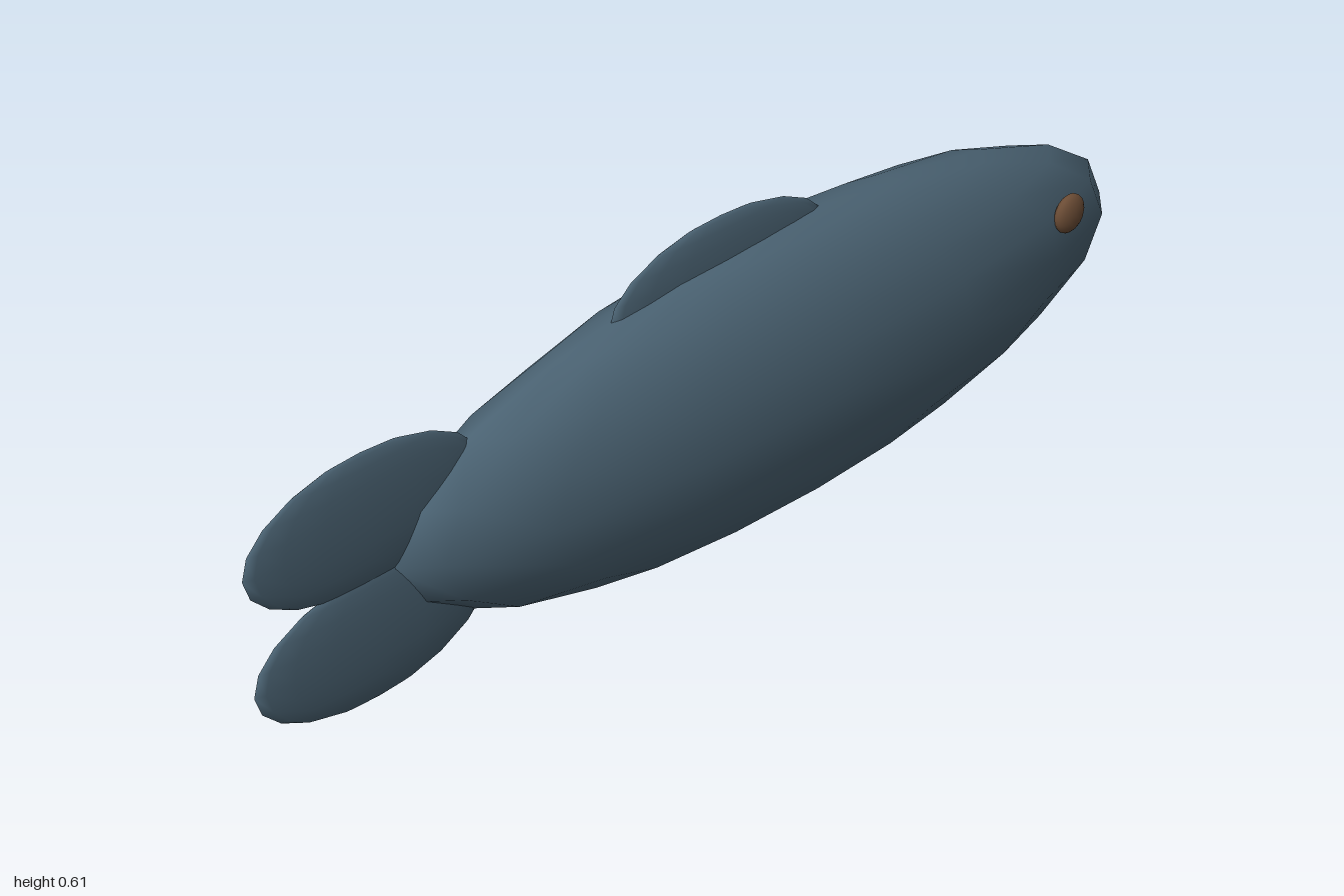
import * as THREE from 'three';

export function createModel() {
  const model = new THREE.Group();
  model.name = 'fish';

  const skin = new THREE.MeshStandardMaterial({ color: 0x4a6272 });
  skin.name = 'slate blue skin';
  const iris = new THREE.MeshStandardMaterial({ color: 0x6b4c35 });
  iris.name = 'brown eye';

  // Every part is a stretched sphere with smooth normals
  function ellipsoid(name, material, radii, position) {
    const geometry = new THREE.SphereGeometry(1, 16, 10);
    geometry.scale(...radii);
    const mesh = new THREE.Mesh(geometry, material);
    mesh.name = name;
    mesh.position.set(...position);
    model.add(mesh);
  }

  // Body
  ellipsoid('body', skin, [0.865, 0.27, 0.155], [0.13, 0.275, 0]);

  // Fins
  ellipsoid('dorsalFin', skin, [0.25, 0.11, 0.018], [-0.015, 0.502, 0]);
  ellipsoid('upperTailFin', skin, [0.23, 0.12, 0.017], [-0.77, 0.384, 0]);
  ellipsoid('lowerTailFin', skin, [0.23, 0.12, 0.017], [-0.77, 0.172, 0]);

  // Eyes, one on each flank
  for (const side of [1, -1]) {
    ellipsoid(side > 0 ? 'frontEye' : 'backEye', iris,
      [0.038, 0.038, 0.017], [0.77, 0.354, side * 0.104]);
  }

  return model;
}
